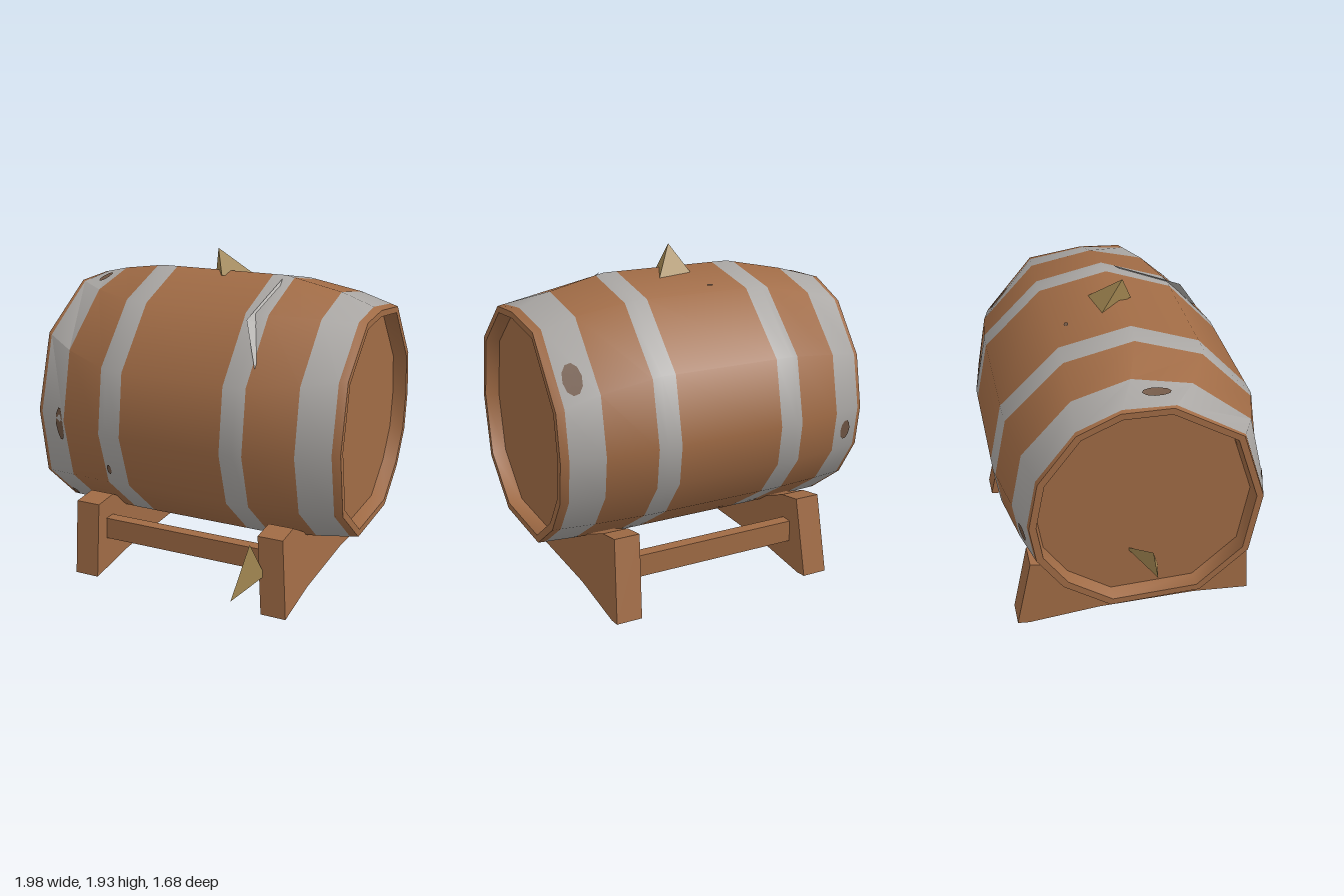
import * as THREE from 'three';
import { toCreasedNormals } from 'three/addons/utils/BufferGeometryUtils.js';

const paint = (name, color, extra = {}) => {
  const m = new THREE.MeshStandardMaterial({ color, ...extra });
  m.name = name;
  return m;
};

// Barrel outlines as [z, y], from the top round by the front (+z)
const LEFT = [[-0.22, 1.7], [0.06, 1.69], [0.45, 1.44], [0.59, 1.0], [0.53, 0.6], [0.25, 0.34],
  [-0.28, 0.34], [-0.55, 0.55], [-0.69, 0.78], [-0.72, 1.02], [-0.66, 1.32], [-0.45, 1.6]];
const MIDDLE = [[-0.02, 1.81], [0.37, 1.66], [0.67, 1.32], [0.72, 0.95], [0.62, 0.63], [0.32, 0.36],
  [-0.3, 0.34], [-0.64, 0.57], [-0.81, 0.8], [-0.84, 1.03], [-0.76, 1.4], [-0.42, 1.73]];
const RIGHT = [[-0.05, 1.65], [0.2, 1.63], [0.5, 1.38], [0.58, 1.0], [0.5, 0.62], [0.2, 0.38],
  [-0.32, 0.38], [-0.56, 0.56], [-0.69, 0.76], [-0.72, 1.0], [-0.68, 1.26], [-0.38, 1.61]];
const SIDES = MIDDLE.length;
const AXIS = [-0.06, 1.05];

// How far the barrel has swelled from its end to its middle at x
function swell(x) {
  const xs = [-0.9, -0.69, -0.38, 0.42, 0.75, 0.98];
  const ts = [0, 0.5, 1, 1, 0.55, 0];
  for (let i = 0; i < 5; i++) {
    if (x <= xs[i + 1]) return ts[i] + (ts[i + 1] - ts[i]) * Math.max(0, (x - xs[i]) / (xs[i + 1] - xs[i]));
  }
  return 0;
}

// Point on the barrel: x along it, u round it, scale towards its axis
function barrelPoint(x, u, scale = 1, sectionX = x) {
  const end = sectionX < 0 ? LEFT : RIGHT;
  const t = swell(sectionX);
  const i = ((Math.floor(u) % SIDES) + SIDES) % SIDES;
  const j = (i + 1) % SIDES;
  const f = u - Math.floor(u);
  const at = (k, c) => end[k][c] + (MIDDLE[k][c] - end[k][c]) * t;
  const zy = [0, 1].map((c) => AXIS[c] + ((at(i, c) * (1 - f) + at(j, c) * f) - AXIS[c]) * scale);
  return new THREE.Vector3(x, zy[1], zy[0]);
}

// Stations run from the left recess over the staves to the right recess:
// [x, scale, material of the strip that follows, section x]
function barrelGeometry() {
  const W = 0, M = 1;
  const stations = [
    [-0.82, 0, W, -0.9], [-0.82, 0.92, W, -0.9], [-0.9, 0.94, W, -0.9],
    [-0.9, 1, W], [-0.875, 1, M], [-0.69, 1, W], [-0.42, 1, M], [-0.38, 1, M], [-0.28, 1, W],
    [0.34, 1, M], [0.42, 1, M], [0.47, 1, W], [0.75, 1, M], [0.935, 1, W], [0.98, 1, W],
    [0.98, 0.94, W, 0.98], [0.9, 0.92, W, 0.98], [0.9, 0, W, 0.98],
  ];
  const pos = [];
  const geo = new THREE.BufferGeometry();
  for (let s = 0; s < stations.length - 1; s++) {
    const p = (k, i) => {
      const [x, scale, , sec] = stations[k];
      return barrelPoint(x, i % SIDES, scale, sec ?? x);
    };
    geo.addGroup(pos.length / 3, SIDES * 6, stations[s][2]);
    for (let i = 0; i < SIDES; i++) {
      const a = p(s, i), b = p(s + 1, i), c = p(s + 1, i + 1), d = p(s, i + 1);
      for (const v of [a, d, c, a, c, b]) pos.push(v.x, v.y, v.z);
    }
  }
  geo.setAttribute('position', new THREE.Float32BufferAttribute(pos, 3));
  return toCreasedNormals(geo, 0.75);
}

// Four-cornered splinter, faces turned outwards
function tetra(corners) {
  const v = corners.map((c) => new THREE.Vector3(...c));
  const mid = v.reduce((s, c) => s.add(c), new THREE.Vector3()).multiplyScalar(0.25);
  const pos = [];
  for (const [i, j, k] of [[0, 1, 2], [0, 1, 3], [0, 2, 3], [1, 2, 3]]) {
    const n = v[j].clone().sub(v[i]).cross(v[k].clone().sub(v[i]));
    const out = n.dot(v[i].clone().sub(mid)) > 0;
    for (const q of out ? [i, j, k] : [i, k, j]) pos.push(...v[q].toArray());
  }
  const geo = new THREE.BufferGeometry();
  geo.setAttribute('position', new THREE.Float32BufferAttribute(pos, 3));
  geo.computeVertexNormals();
  return geo;
}

// Thin oval stain that follows the barrel's surface
function stainGeometry(x, u, rx, ru) {
  const geo = new THREE.CircleGeometry(1, 10);
  const p = geo.attributes.position;
  for (let i = 0; i < p.count; i++) {
    const v = barrelPoint(x + p.getX(i) * rx, u + p.getY(i) * ru, 1.008);
    p.setXYZ(i, v.x, v.y, v.z);
  }
  geo.computeVertexNormals();
  return geo;
}

// Cradle board with a hollowed top; lean shifts its top along x
function boardGeometry(x0, x1, lean) {
  const outline = [[0.65, 0.01], [0.62, 0.47], [0.46, 0.48], [0.22, 0.35], [-0.25, 0.34],
    [-0.55, 0.47], [-0.7, 0.5], [-0.8, 0.04], [-0.73, 0.03], [-0.3, 0.06], [0.3, 0.05]];
  const shape = new THREE.Shape(outline.map(([z, y]) => new THREE.Vector2(-z, y)));
  const geo = new THREE.ExtrudeGeometry(shape, { depth: x1 - x0, bevelEnabled: false });
  geo.rotateY(Math.PI / 2).translate(x0, 0, 0);
  const p = geo.attributes.position;
  for (let i = 0; i < p.count; i++) p.setX(i, p.getX(i) + (lean * p.getY(i)) / 0.5);
  geo.computeVertexNormals();
  return geo;
}

export function createModel() {
  const wood = paint('wood', 0xa06b45);
  const metal = paint('metal', 0xa9a6a3);
  const brass = paint('brass', 0xa08550);
  const stain = paint('stain', 0x705644, { side: THREE.DoubleSide });
  const model = new THREE.Group();
  const add = (name, geo, mat) => {
    const mesh = new THREE.Mesh(geo, mat);
    mesh.name = name;
    model.add(mesh);
    return mesh;
  };

  // Barrel with four hoops and recessed heads
  add('barrel', barrelGeometry(), [wood, metal]);
  add('bentHoopShard', tetra([[0.42, 1.8, 0.04], [0.38, 1.64, 0.45], [0.49, 1.41, 0.59], [0.45, 1.6, 0.36]]), metal);

  // Cradle
  add('rightBoard', boardGeometry(-0.65, -0.5, 0.01), wood);
  add('leftBoard', boardGeometry(0.57, 0.72, -0.04), wood);
  for (const [name, z, y] of [['frontRail', 0.5, 0.285], ['backRail', -0.6, 0.265]]) {
    add(name, new THREE.BoxGeometry(1.1, 0.13, 0.07), wood).position.set(0.03, y, z);
  }

  // Bung, tap and peg
  add('topBung', tetra([[0, 1.94, 0], [-0.08, 1.78, -0.14], [0.14, 1.78, -0.17], [0.05, 1.79, 0.06]]), brass);
  add('endTap', tetra([[-1, 0.6, -0.03], [-0.96, 0.76, -0.05], [-0.8, 0.5, 0.02], [-0.8, 0.68, -0.17]]), brass);
  add('frontPeg', tetra([[0.47, 0.16, 0.84], [0.52, 0.45, 0.7], [0.58, 0.24, 0.62], [0.46, 0.18, 0.62]]), brass);

  // Stains on the hoops and staves: x, place round the barrel, half sizes
  const stains = [[-0.73, 3.1, 0.03, 0.27], [-0.77, 0.5, 0.03, 0.25], [-0.78, 8.5, 0.04, 0.25],
    [-0.39, 3.7, 0.015, 0.1], [-0.85, 4.8, 0.02, 0.12], [0.86, 10.3, 0.05, 0.2], [-0.09, 11.2, 0.02, 0.03]];
  for (const s of stains) add('stain', stainGeometry(...s), stain);

  return model;
}
